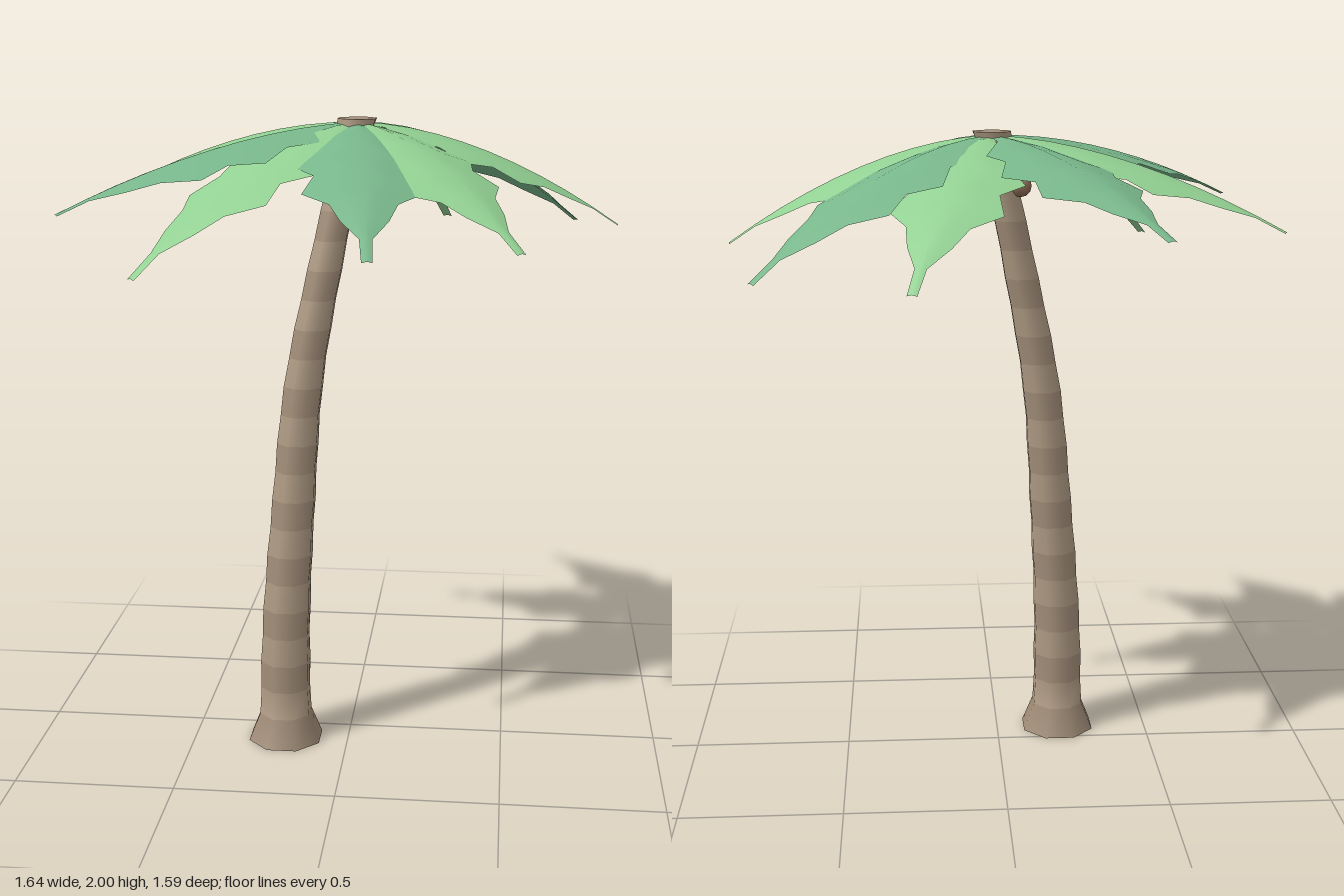
import * as THREE from 'three';

const RINGS = 22, SIDES = 8;
const mat = (color, side = THREE.FrontSide) => new THREE.MeshStandardMaterial({ color, side });

function mesh(name, geometry, material) {
  const m = new THREE.Mesh(geometry, material);
  m.name = name;
  return m;
}

// Leaning trunk centreline, from the ground to the crown
const spine = new THREE.CatmullRomCurve3([
  [-0.205, 0, 0.1], [-0.2, 0.4, 0.095], [-0.175, 0.8, 0.08],
  [-0.14, 1.2, 0.065], [-0.065, 1.6, 0.045], [0.02, 2, 0.005],
].map((p) => new THREE.Vector3(...p)));

// Tapered trunk of rings: flared foot, slightly wider crown, two alternating bark tones
function createTrunk() {
  const trunk = new THREE.Group();
  trunk.name = 'trunk';
  const pos = [], bands = [[], []], caps = [[], []];
  for (let i = 0; i <= RINGS; i++) {
    const t = i / RINGS, c = spine.getPoint(t);
    let r = THREE.MathUtils.lerp(0.087, 0.046, t) * (i % 2 ? 1.02 : 0.98);
    if (i === 0) r = 0.124;
    if (i === RINGS) r = 0.062;
    for (let j = 0; j < SIDES; j++) {
      const a = ((j + 0.5) / SIDES) * Math.PI * 2;
      const p = [c.x + r * Math.cos(a), c.y, c.z + r * Math.sin(a)];
      pos.push(...p);
      if (i === 0) caps[0].push(p);
      if (i === RINGS) caps[1].push(p);
      if (i < RINGS) {
        const k = i * SIDES + j, n = i * SIDES + ((j + 1) % SIDES);
        bands[i % 2].push(k, k + SIDES, n, n, k + SIDES, n + SIDES);
      }
    }
  }
  const whole = new THREE.BufferGeometry();
  whole.setAttribute('position', new THREE.Float32BufferAttribute(pos, 3));
  whole.setIndex([...bands[0], ...bands[1]]);
  whole.computeVertexNormals();
  bands.forEach((index, b) => {
    const g = whole.clone();
    g.setIndex(index);
    trunk.add(mesh(b ? 'lightBark' : 'darkBark', g, mat(b ? 0xb09c85 : 0xa28e79)));
  });
  // Flat ends
  caps.forEach((ring, top) => {
    const g = new THREE.BufferGeometry(), index = [];
    g.setAttribute('position', new THREE.Float32BufferAttribute(ring.flat(), 3));
    for (let j = 1; j < SIDES - 1; j++) index.push(0, top ? j + 1 : j, top ? j : j + 1);
    g.setIndex(index);
    g.computeVertexNormals();
    trunk.add(mesh(top ? 'trunkTop' : 'trunkBase', g, mat(0xa28e79)));
  });
  return trunk;
}

// Half widths of a leaf at even steps from crown to tip: jagged blade, thin end
const WIDTHS = [0.015, 0.035, 0.13, 0.12, 0.19, 0.135, 0.17, 0.094, 0.065, 0.018, 0.015];
const COLUMNS = [-1, -0.5, 0, 0.5, 1];

// Drooping leaf, folded down on both sides of its midrib
function createFrond([tipX, tipY, tipZ]) {
  const x0 = 0.02, y0 = 1.988, z0 = 0;
  const dx = tipX - x0, dz = tipZ - z0, length = Math.hypot(dx, dz);
  const sx = -dz / length, sz = dx / length;
  const pos = [], index = [], n = COLUMNS.length;
  WIDTHS.forEach((w, i) => {
    const t = i / (WIDTHS.length - 1);
    const y = y0 - (y0 - tipY) * Math.pow(t, 1.8);
    COLUMNS.forEach((u, j) => {
      pos.push(x0 + dx * t + sx * u * w, y - 0.25 * w * Math.pow(Math.abs(u), 1.3), z0 + dz * t + sz * u * w);
      if (i < WIDTHS.length - 1 && j < n - 1) {
        const a = i * n + j;
        index.push(a, a + 1, a + n, a + 1, a + n + 1, a + n);
      }
    });
  });
  const g = new THREE.BufferGeometry();
  g.setAttribute('position', new THREE.Float32BufferAttribute(pos, 3));
  g.setIndex(index);
  g.computeVertexNormals();
  return g;
}

export function createModel() {
  const palm = new THREE.Group();
  palm.name = 'palmTree';
  palm.add(createTrunk());

  // Leaf tips, in the two greens
  const darkGreen = mat(0x78b68a, THREE.DoubleSide), lightGreen = mat(0x92d092, THREE.DoubleSide);
  const darkTips = [[-0.41, 1.77, -0.79], [0.71, 1.63, -0.55], [0.12, 1.69, 0.79], [-0.79, 1.76, 0.48]];
  const lightTips = [[0.27, 1.62, -0.7], [0.815, 1.68, -0.08], [0.52, 1.69, 0.62], [-0.54, 1.61, 0.65], [-0.82, 1.73, -0.32]];
  const crown = new THREE.Group();
  crown.name = 'crown';
  darkTips.forEach((tip) => crown.add(mesh('darkFrond', createFrond(tip), darkGreen)));
  lightTips.forEach((tip) => crown.add(mesh('lightFrond', createFrond(tip), lightGreen)));
  palm.add(crown);

  // Coconuts clustered under the leaves
  const nuts = new THREE.Group();
  nuts.name = 'coconuts';
  const nutShape = new THREE.SphereGeometry(0.034, 8, 6), nutColor = mat(0x8f7057);
  [[-0.05, 1.845, 0.078], [-0.068, 1.835, 0.0], [-0.025, 1.86, -0.025]].forEach((p) => {
    const nut = mesh('coconut', nutShape, nutColor);
    nut.position.set(...p);
    nuts.add(nut);
  });
  palm.add(nuts);
  return palm;
}
